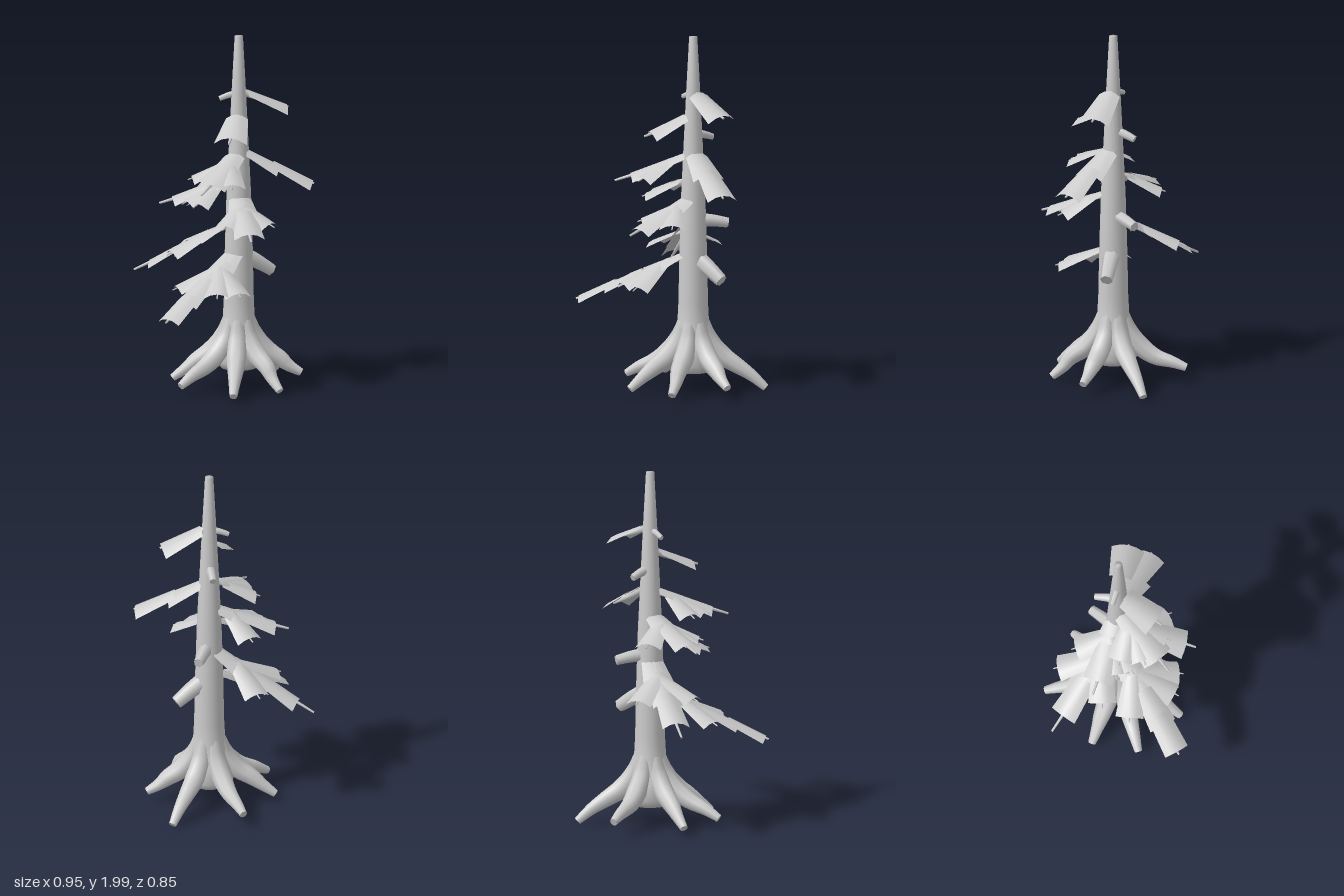
import * as THREE from 'three';
import { mergeGeometries } from 'three/addons/utils/BufferGeometryUtils.js';

const CX = 0.07, CZ = -0.02; // trunk axis
const UP = new THREE.Vector3(0, 1, 0);
const wood = new THREE.MeshStandardMaterial({ color: 0xcccccc });
const needles = new THREE.MeshStandardMaterial({ color: 0xcccccc, side: THREE.DoubleSide });
const V = (x, y, z) => new THREE.Vector3(x, y, z);

// Round limb along a path, its radius blended through the given list, with a flat end
function limb(points, radii, steps, sides) {
  const curve = new THREE.CatmullRomCurve3(points);
  const tube = new THREE.TubeGeometry(curve, steps, 1, sides);
  const pos = tube.attributes.position, v = V(0, 0, 0);
  for (let i = 0; i <= steps; i++) {
    const c = curve.getPointAt(i / steps);
    const f = curve.getUtoTmapping(i / steps) * (radii.length - 1);
    const k = Math.min(Math.floor(f), radii.length - 2);
    const r = THREE.MathUtils.lerp(radii[k], radii[k + 1], f - k);
    for (let j = 0; j <= sides; j++) {
      const n = i * (sides + 1) + j;
      v.fromBufferAttribute(pos, n).sub(c).multiplyScalar(r).add(c);
      pos.setXYZ(n, v.x, v.y, v.z);
    }
  }
  const end = curve.getPoint(1);
  const cap = new THREE.CircleGeometry(radii[radii.length - 1], sides);
  cap.applyQuaternion(new THREE.Quaternion().setFromUnitVectors(V(0, 0, 1), curve.getTangent(1)));
  cap.translate(end.x, end.y, end.z);
  return mergeGeometries([tube, cap]);
}

// Widening spray of needles from one point to another, arched across its width
function spray(from, to, w0, w1) {
  const dir = to.clone().sub(from).setY(0).normalize();
  const side = V(-dir.z, 0, dir.x);
  const geo = new THREE.PlaneGeometry(1, 1, 4, 1);
  const pos = geo.attributes.position, p = V(0, 0, 0);
  for (let i = 0; i < pos.count; i++) {
    const u = pos.getX(i) * 2, t = 0.5 - pos.getY(i), w = t ? w1 : w0;
    p.lerpVectors(from, to, t).addScaledVector(side, u * w / 2);
    p.addScaledVector(dir, -0.012 * u * u * t);
    p.y -= 0.2 * w * u * u;
    pos.setXYZ(i, p.x, p.y, p.z);
  }
  geo.computeVertexNormals();
  return geo;
}

export function createModel() {
  const model = new THREE.Group();
  const add = (name, geo, mat, parent) => {
    const m = new THREE.Mesh(geo, mat);
    m.name = name;
    parent.add(m);
  };
  const group = (name) => {
    const g = new THREE.Group();
    g.name = name;
    model.add(g);
    return g;
  };

  // Trunk with flared foot
  const profile = [[0, 0.13], [0.1, 0.12], [0.145, 0.17], [0.12, 0.26], [0.09, 0.37], [0.083, 0.5], [0.077, 0.8],
    [0.068, 1.1], [0.04, 1.68], [0.023, 2], [0, 2]].map(([x, y]) => new THREE.Vector2(x, y));
  add('trunk', new THREE.LatheGeometry(profile, 14).translate(CX, 0, CZ), wood, model);

  // Roots: tip positions around the foot, each bending over a knee
  const roots = group('roots');
  [[0.41, 0.08, 0.03], [0.23, 0.045, 0.28], [-0.05, 0.045, 0.34], [-0.3, 0.07, 0.14],
    [-0.28, 0.055, -0.12], [-0.025, 0.1, -0.415], [0.35, 0.028, -0.305]].forEach(([x, y, z]) => {
    const tip = V(x, y, z);
    const out = V(x - CX, 0, z - CZ), len = out.length();
    const at = (d, h) => V(CX, h, CZ).addScaledVector(out, d / len);
    const path = [at(0.045, 0.42), at(0.085, 0.3), at(0.155, 0.21), at(0.235, 0.155),
      at(len * 0.8, 0.085 + y * 0.45), tip];
    add('root', limb(path, [0.035, 0.052, 0.056, 0.046, 0.034, 0.022], 16, 8), wood, roots);
  });

  // Broken stubs: height on the trunk, tip, thickness
  const stubs = group('stubs');
  [[0.77, 0.265, 0.65, -0.055, 0.052], [0.97, 0.172, 0.945, -0.185, 0.04],
    [1.455, 0.08, 1.42, -0.15, 0.028], [1.675, -0.035, 1.645, -0.04, 0.02]].forEach(([h, x, y, z, r]) => {
    const a = V(CX, h, CZ), b = V(x, y, z);
    const mid = a.clone().lerp(b, 0.55);
    mid.y += 0.005;
    add('stub', limb([a, mid, b], [r, r * 0.7], 6, 6), wood, stubs);
  });

  // Branches: height on the trunk, bough tip, sprays in a row and how far along
  // the bough they reach, then the angles of the side twigs and their length
  const branches = [
    { h: 1.69, tip: V(0.345, 1.585, 0), row: 1, reach: 0.98, twigs: [], twigLength: 0 },
    { h: 1.355, tip: V(0.465, 1.17, 0.11), row: 2, reach: 0.99, twigs: [], twigLength: 0 },
    { h: 1.56, tip: V(-0.05, 1.455, 0.235), row: 1, reach: 0.88, twigs: [], twigLength: 0 },
    { h: 1.34, tip: V(-0.22, 1.19, 0.3), row: 1, reach: 0.8, twigs: [58, 20, -32], twigLength: 0.23 },
    { h: 1.2, tip: V(-0.36, 1.055, -0.105), row: 2, reach: 0.84, twigs: [58, -50, -25], twigLength: 0.23 },
    { h: 1.1, tip: V(0.035, 0.935, 0.415), row: 2, reach: 0.88, twigs: [38, -45], twigLength: 0.22 },
    { h: 0.96, tip: V(-0.45, 0.63, -0.32), row: 3, reach: 0.85, twigs: [44, -38], twigLength: 0.27 },
    { h: 0.79, tip: V(-0.445, 0.5, 0.385), row: 4, reach: 0.98, twigs: [36, -34, -62], twigLength: 0.275 },
  ];
  branches.forEach(({ h, tip, row, reach, twigs, twigLength }) => {
    const branch = group('branch');
    const base = V(CX, h, CZ);
    const on = (t, lift) => base.clone().lerp(tip, t).addScaledVector(UP, lift);
    const first = 0.05 / base.distanceTo(tip);
    const step = (reach - first) / row;
    add('bough', limb([base, on(0.5, -0.005), tip], [0.022, 0.014, 0.006], 8, 6), wood, branch);
    for (let i = 0; i < row; i++) {
      const t = first + i * step;
      const start = on(Math.max(first, t - 0.09), 0.022);
      add('needleSpray', spray(start, on(t + step, 0.012), 0.125, 0.185 - 0.014 * i), needles, branch);
    }
    // Side twigs leave the bough near the trunk, each with a spray on top
    const out = tip.clone().sub(base).setY(0).normalize();
    twigs.forEach((deg) => {
      const root = on(0.25, 0);
      const dir = out.clone().applyAxisAngle(UP, THREE.MathUtils.degToRad(-deg)).setY(-0.4);
      const point = (d, lift) => root.clone().addScaledVector(dir, d).addScaledVector(UP, lift);
      add('twig', limb([root, point(twigLength, 0)], [0.009, 0.004], 2, 5), wood, branch);
      add('needleSpray', spray(point(0.02, 0.02), point(twigLength - 0.02, 0.012), 0.095, 0.155), needles, branch);
    });
  });
  return model;
}
